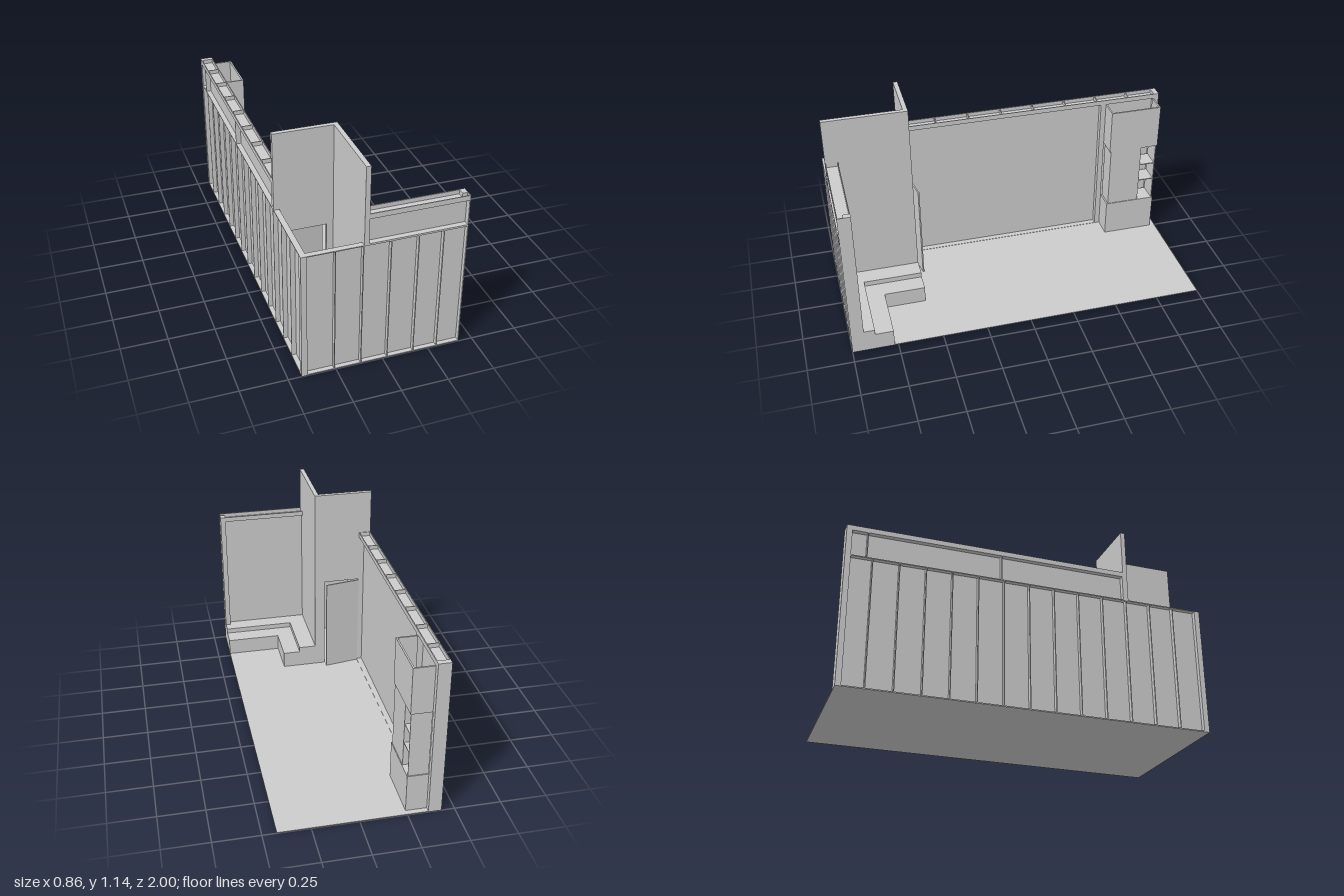
import * as THREE from 'three';

const material = new THREE.MeshStandardMaterial({ color: 0xcccccc, flatShading: true });

export function createModel() {
  const model = new THREE.Group();
  const group = (name) => {
    const g = new THREE.Group();
    g.name = name;
    model.add(g);
    return g;
  };
  // Box given by its min / max on each axis
  const block = (parent, name, x0, x1, y0, y1, z0, z1) => {
    const m = new THREE.Mesh(new THREE.BoxGeometry(x1 - x0, y1 - y0, z1 - z0), material);
    m.position.set((x0 + x1) / 2, (y0 + y1) / 2, (z0 + z1) / 2);
    m.name = name;
    parent.add(m);
    return m;
  };

  const L = -0.43, R = 0.425, F = 1, B = -1; // footprint
  const T = 0.005;   // sheet thickness
  const LOW = 0.715; // height of outer framing
  const TOP = 0.885; // height of main walls
  const RAIL = 0.857; // underside of the top tracks
  const IN = -0.36;  // inner face of the side wall

  block(model, 'floor', L, R, 0, 0.004, B, F);

  // Outer framing of the front: backing sheet, rails and thin studs
  const front = group('frontFraming');
  block(front, 'backing', L + 0.03, R, 0, LOW, 0.97, 0.975);
  block(front, 'cornerPost', L, L + 0.03, 0, LOW, 0.97, F);
  block(front, 'bottomRail', L, R, 0, 0.006, 0.97, F);
  block(front, 'topRail', L, R, LOW - T, LOW, 0.97, F);
  for (const x of [-0.258, -0.117, 0.025, 0.168, 0.298, R - T / 2]) {
    block(front, 'stud', x - T / 2, x + T / 2, 0, LOW, 0.97, F);
  }

  // Outer framing of the side
  const side = group('sideFraming');
  block(side, 'backing', L + 0.025, L + 0.03, 0, LOW, B, 0.97);
  block(side, 'bottomRail', L, L + 0.03, 0, 0.006, B, 0.97);
  block(side, 'topRail', L, L + 0.03, LOW - T, LOW, B, 0.97);
  const bays = 14;
  for (let i = 0; i < bays; i++) {
    const z = B + (i * 1.97) / bays;
    block(side, 'stud', L, L + 0.03, 0, LOW, z, z + T);
  }

  // Main side wall: web, inner posts, upper recess and open top track
  const wall = group('sideWall');
  const wallEnd = 0.54;
  block(wall, 'web', -0.402, -0.392, 0, RAIL, B, wallEnd);
  block(wall, 'endPost', L, IN, 0, TOP, B, B + 0.03);
  block(wall, 'innerPost', -0.392, IN, 0, RAIL, -0.67, -0.64);
  block(wall, 'bottomTrack', -0.392, IN, 0, 0.006, B, wallEnd);
  block(wall, 'trackBase', L, IN, RAIL, RAIL + T, B, wallEnd);
  block(wall, 'outerLip', L, L + T, RAIL, TOP, B, wallEnd);
  block(wall, 'innerLip', IN - T, IN, RAIL, TOP, B, wallEnd);
  for (let i = 1; i <= 8; i++) {
    const z = B + i * 0.1925;
    block(wall, 'trackRung', L, IN, RAIL, TOP, z - T, z);
  }
  for (const z of [-0.89, -0.17, wallEnd - T]) {
    block(wall, 'upperStud', L, -0.402, LOW, RAIL, z, z + T);
  }

  // Main front wall, same construction
  const fw = group('frontWall');
  const x0 = -0.09;
  block(fw, 'web', x0, R, 0, RAIL, 0.962, 0.97);
  block(fw, 'innerEndPost', R - 0.03, R, 0, TOP, 0.93, 0.97);
  block(fw, 'outerEndPost', R - T, R, LOW, TOP, 0.97, F);
  block(fw, 'upperSill', x0, R, LOW, LOW + T, 0.97, F);
  block(fw, 'trackBase', x0, R, RAIL, RAIL + T, 0.93, F);
  block(fw, 'outerLip', x0, R, RAIL, TOP, F - T, F);
  block(fw, 'innerLip', x0, R, RAIL, TOP, 0.93, 0.93 + T);

  // Tall partitions around the corner room, with a doorway
  const room = group('cornerRoom');
  const H = 1.14, zb = 0.54, zf = 0.565;
  block(room, 'sidePartition', -0.115, x0, 0, LOW, zb, 0.97);
  block(room, 'sidePartitionTop', -0.115, x0, LOW, H, zb, F);
  block(room, 'partitionAboveDoor', L, -0.115, LOW, H, zb, zf);
  block(room, 'doorHeader', L + 0.03, -0.115, 0.575, LOW, zb, zf);
  block(room, 'jamb', L + 0.03, IN, 0, 0.575, zb, zf);
  block(room, 'jamb', -0.15, -0.115, 0, 0.575, zb, zf);

  // Door, slightly ajar
  const hinge = group('door');
  hinge.position.set(IN, 0, 0.54);
  hinge.rotation.y = Math.atan2(0.035, 0.21);
  block(hinge, 'doorLeaf', 0, 0.21, 0.004, 0.572, -0.008, 0);

  // L-shaped steps in the corner
  const steps = group('steps');
  const stepLevel = (name, y0, y1, xs, zs) => {
    block(steps, name, x0, xs, y0, y1, zb, 0.962);
    block(steps, name, xs, R, y0, y1, zs, 0.962);
  };
  stepLevel('lowerStep', 0, 0.1, 0.11, 0.77);
  stepLevel('upperStep', 0.1, 0.13, 0.01, 0.87);

  // Cabinet: base, inset middle with open shelves, open-topped upper box
  const cab = group('cabinet');
  const cx = -0.247, c0 = -0.97, c1 = -0.67, t = 0.009;
  block(cab, 'base', IN, cx, 0, 0.22, c0, c1);
  block(cab, 'closedMiddle', IN, cx - 0.004, 0.22, 0.595, -0.87, c1 - t);
  block(cab, 'shelfEnd', IN, cx - 0.004, 0.22, 0.595, c0 + 0.005, c0 + t);
  for (const y of [0.36, 0.472]) block(cab, 'shelf', IN, cx - 0.006, y - T, y, c0 + t, -0.87);
  block(cab, 'upperBottom', IN, cx, 0.595, 0.604, c0, c1);
  block(cab, 'upperFace', cx - t, cx, 0.604, RAIL, c0, c1);
  for (const z of [c0, c1 - t]) block(cab, 'upperSide', IN, cx - t, 0.604, RAIL, z, z + t);

  return model;
}
